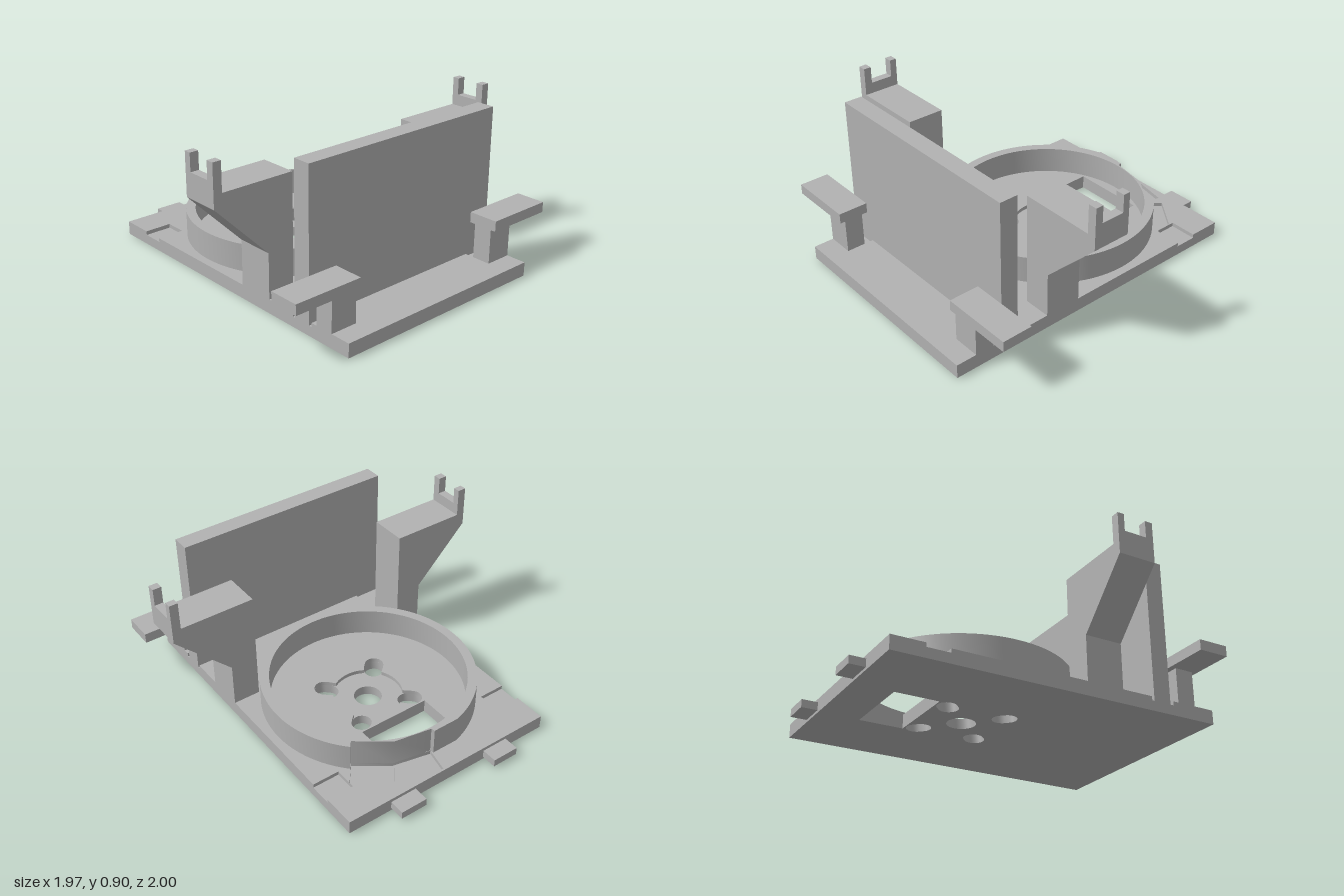
import * as THREE from 'three';
import { toCreasedNormals } from 'three/addons/utils/BufferGeometryUtils.js';

const CZ = -0.183; // z of the round tray's centre
const pts = (list) => list.map(([x, y]) => new THREE.Vector2(x, y));

export function createModel() {
  const model = new THREE.Group();
  model.name = 'deviceMount';
  const grey = new THREE.MeshStandardMaterial({ color: 0xb2b2b2 });
  grey.name = 'plainGrey';

  const add = (name, geometry) => {
    const mesh = new THREE.Mesh(geometry, grey);
    mesh.name = name;
    model.add(mesh);
  };
  const box = (name, x0, x1, y0, y1, z0, z1) => {
    const g = new THREE.BoxGeometry(x1 - x0, y1 - y0, z1 - z0);
    g.translate((x0 + x1) / 2, (y0 + y1) / 2, (z0 + z1) / 2);
    add(name, g);
  };
  // Horizontal slab from an (x, z) outline with holes
  const slab = (name, outline, holes, y0, y1) => {
    const shape = new THREE.Shape(outline);
    shape.holes = holes.map((h) => new THREE.Path(h));
    const g = new THREE.ExtrudeGeometry(shape, { depth: y1 - y0, bevelEnabled: false });
    g.rotateX(Math.PI / 2).translate(0, y1, 0);
    add(name, toCreasedNormals(g, 0.5));
  };
  // Points along an arc around the tray centre
  const arc = (r, a0, a1, n) => Array.from({ length: n + 1 }, (_, i) => {
    const a = a0 + (a1 - a0) * i / n;
    return new THREE.Vector2(r * Math.cos(a), CZ + r * Math.sin(a));
  });
  const circle = (r, n) => arc(r, 0, Math.PI * 2, n).slice(0, n);

  // Holes: window, centre hole and four diagonal slots
  const window = pts([[-0.22, -0.68], [0.22, -0.68], [0.22, -0.425], [-0.22, -0.425]]);
  const slots = [0, 1, 2, 3].map((q) => {
    const a = Math.PI / 4 + q * Math.PI / 2;
    const end = (d, start) => Array.from({ length: 13 }, (_, i) => {
      const t = start + Math.PI * i / 12;
      return new THREE.Vector2(
        d * Math.cos(a) + 0.055 * Math.cos(t), CZ + d * Math.sin(a) + 0.055 * Math.sin(t));
    });
    return [...end(0.255, a - Math.PI / 2), ...end(0.226, a + Math.PI / 2)];
  });
  // Shallow round recess merged with the slots
  const recess = Array.from({ length: 240 }, (_, i) => {
    const t = i * Math.PI / 120;
    const p = (t % (Math.PI / 2)) - Math.PI / 4;
    let r = 0.2;
    for (const d of [0.226, 0.24, 0.255]) {
      const k = 0.055 ** 2 - (d * Math.sin(p)) ** 2;
      if (k >= 0) r = Math.max(r, d * Math.cos(p) + Math.sqrt(k));
    }
    return new THREE.Vector2(r * Math.cos(t), CZ + r * Math.sin(t));
  });
  const clipPockets = pts([[0.04, -0.9], [0.26, -0.855], [0.237, -0.735], [0.31, -0.83],
    [0.5, -0.69], [0.41, -0.58], [0.235, -0.707], [0.01, -0.755]]);

  // Base plate: full lower layer, upper layer with open side pockets
  const side = [[0.66, -0.91], [0.66, -0.72], [0.5, -0.72], [0.5, -0.59], [0.66, -0.59],
    [0.66, 0.595], [0.5, 0.595], [0.5, 0.735], [0.66, 0.735], [0.66, 1]];
  const mirrored = side.map(([x, z]) => [-x, z]).reverse();
  slab('baseLower', pts([[-0.66, -0.91], [0.66, -0.91], [0.66, 1], [-0.66, 1]]),
    [window, circle(0.08, 40), ...slots], 0, 0.057);
  slab('baseUpper', pts([...side, ...mirrored]), [window, recess, clipPockets], 0.057, 0.08);

  // Tray rim: flattened front and back, thinned beside the clip pockets
  const R = 0.612;
  const flat = Math.asin(0.5925 / R);
  const rim = [
    ...arc(R, Math.atan2(-0.427, 0.436), flat, 40),
    ...arc(R, Math.PI - flat, Math.PI + flat, 60),
    ...pts([[0.006, CZ - 0.5925], [0.01, CZ - 0.57], [0.23, CZ - 0.53], [0.41, CZ - 0.395]]),
  ];
  slab('trayRim', rim, [circle(0.558, 96)], 0.08, 0.24);

  // Upright panel
  box('uprightPanel', -0.66, 0.66, 0.057, 0.905, 0.61, 0.715);

  for (const s of [1, -1]) {
    const label = s > 0 ? 'left' : 'right';
    const sideBox = (name, x0, x1, ...rest) =>
      box(label + name, Math.min(s * x0, s * x1), Math.max(s * x0, s * x1), ...rest);

    // Bracket arm with a sloped underside and a forked tip
    const profile = [[0.5, 0.08], [0.66, 0.08], [0.66, 0.34], [0.985, 0.665], [0.985, 0.805],
      [0.935, 0.805], [0.935, 0.74], [0.5, 0.74]];
    const arm = new THREE.ExtrudeGeometry(
      new THREE.Shape(pts(profile.map(([x, y]) => [s * x, y]))),
      { depth: 0.22, bevelEnabled: false });
    add(label + 'BracketArm', arm.translate(0, 0, 0.19));
    sideBox('ForkProngBack', 0.935, 0.985, 0.805, 0.905, 0.19, 0.23);
    sideBox('ForkProngFront', 0.935, 0.985, 0.805, 0.905, 0.365, 0.41);

    // Front ledge on its post
    sideBox('LedgePost', 0.5, 0.66, 0.08, 0.28, 0.77, 0.88);
    sideBox('Ledge', 0.5, 0.91, 0.28, 0.34, 0.735, 0.91);

    // Rear tab
    sideBox('RearTab', 0.235, 0.395, 0.015, 0.06, -1, -0.91);
  }
  return model;
}
